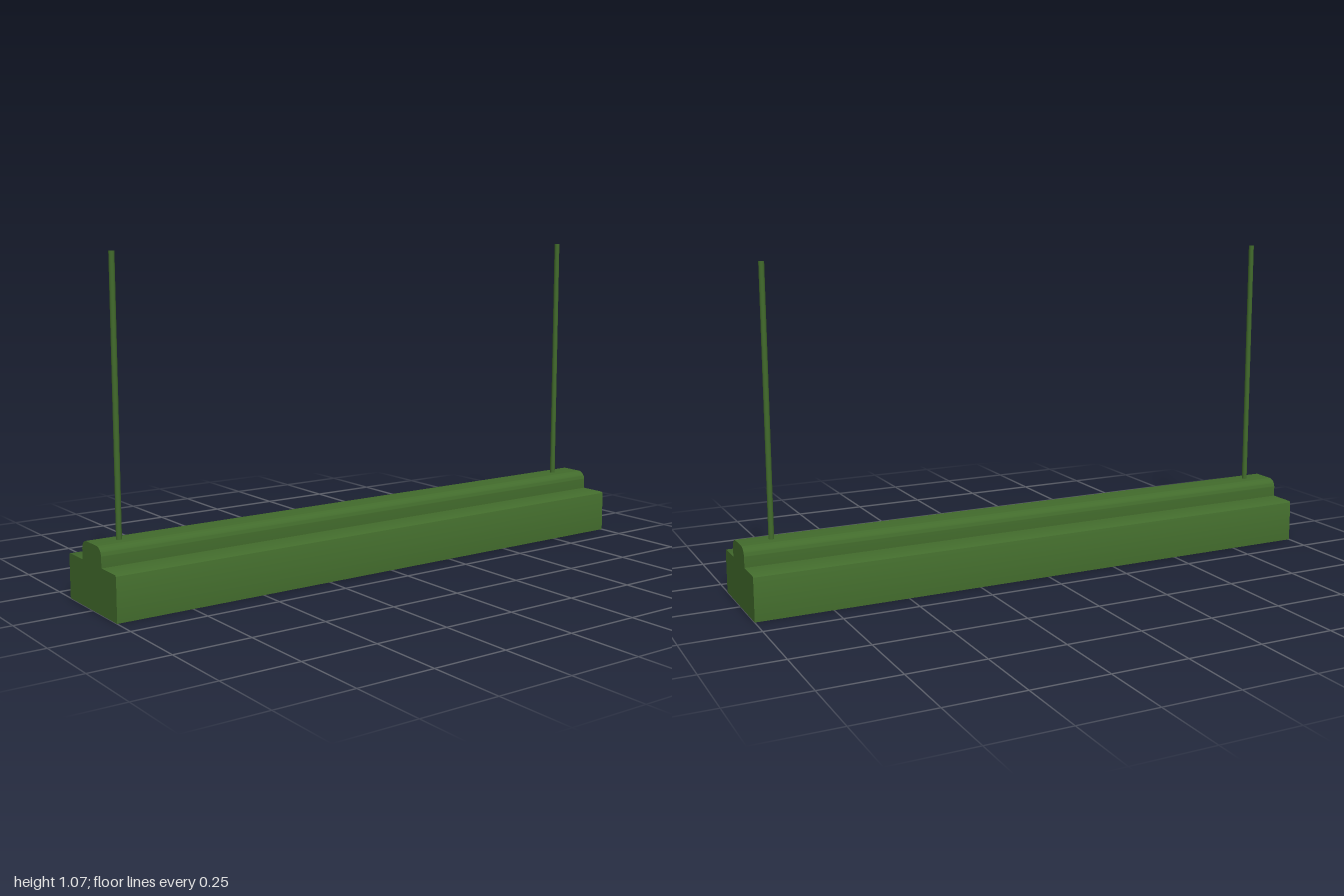
import * as THREE from 'three';
import { toCreasedNormals } from 'three/addons/utils/BufferGeometryUtils.js';

const green = new THREE.MeshStandardMaterial({ color: 0x426b2c });
const purple = new THREE.MeshStandardMaterial({ color: 0x84509c });
const olive = new THREE.MeshStandardMaterial({ color: 0x857b30 });

const LENGTH = 2, HALF_W = 0.163, BODY_H = 0.144, TOP = 0.206;
const RIDGE = 0.066, WALL = 0.008, CAP = 0.01;

// Cross-section of the housing; hollow adds the cavity open to below
function profile(hollow) {
  const r = 0.008, R = 0.03;
  const s = new THREE.Shape();
  s.moveTo(HALF_W, 0);
  s.lineTo(HALF_W, BODY_H - r);
  s.absarc(HALF_W - r, BODY_H - r, r, 0, Math.PI / 2);
  s.lineTo(RIDGE, BODY_H);
  s.lineTo(RIDGE, TOP - R);
  s.absarc(RIDGE - R, TOP - R, R, 0, Math.PI / 2);
  s.absarc(-RIDGE + R, TOP - R, R, Math.PI / 2, Math.PI);
  s.lineTo(-RIDGE, BODY_H);
  s.absarc(-HALF_W + r, BODY_H - r, r, Math.PI / 2, Math.PI);
  s.lineTo(-HALF_W, 0);
  if (hollow) {
    const w = HALF_W - WALL, h = BODY_H - WALL;
    s.lineTo(-w, 0);
    s.lineTo(-w, h);
    s.lineTo(w, h);
    s.lineTo(w, 0);
  }
  s.closePath();
  return s;
}

// Extrude a profile along x, centred on x
function extrudeAlongX(shape, depth, x, name) {
  const g = new THREE.ExtrudeGeometry(shape, { depth, bevelEnabled: false, curveSegments: 10 });
  g.translate(0, 0, -depth / 2);
  g.rotateY(Math.PI / 2);
  const mesh = new THREE.Mesh(toCreasedNormals(g, 0.6), green);
  mesh.position.x = x;
  mesh.name = name;
  return mesh;
}

export function createModel() {
  const model = new THREE.Group();
  model.name = 'hangingStripLight';

  // Housing and its closed ends
  model.add(extrudeAlongX(profile(true), LENGTH - 2 * CAP, 0, 'housing'));
  for (const side of [-1, 1]) {
    model.add(extrudeAlongX(profile(false), CAP, side * (LENGTH - CAP) / 2, 'endCap'));
  }

  // Suspension rods
  const rodBottom = TOP - 0.01, rodTop = 1.07;
  for (const x of [-0.91, 0.895]) {
    const rod = new THREE.Mesh(new THREE.CylinderGeometry(0.009, 0.009, rodTop - rodBottom, 16), green);
    rod.position.set(x, (rodTop + rodBottom) / 2, 0);
    rod.name = 'suspensionRod';
    model.add(rod);
  }

  // Lamp tubes
  for (const side of [-1, 1]) {
    const tube = new THREE.Mesh(new THREE.CylinderGeometry(0.032, 0.032, 1.94, 24), purple);
    tube.rotation.z = Math.PI / 2;
    tube.position.set(0, 0.102, side * 0.067);
    tube.name = 'lampTube';
    model.add(tube);
  }

  // Cross baffles under the tubes
  const baffles = new THREE.Group();
  baffles.name = 'baffles';
  const baffleGeometry = new THREE.BoxGeometry(0.005, 0.066, 2 * (HALF_W - WALL));
  for (let i = -5; i <= 5; i++) {
    const baffle = new THREE.Mesh(baffleGeometry, olive);
    baffle.position.set(i * 0.164, 0.036, 0);
    baffle.name = 'baffle';
    baffles.add(baffle);
  }
  model.add(baffles);

  return model;
}
